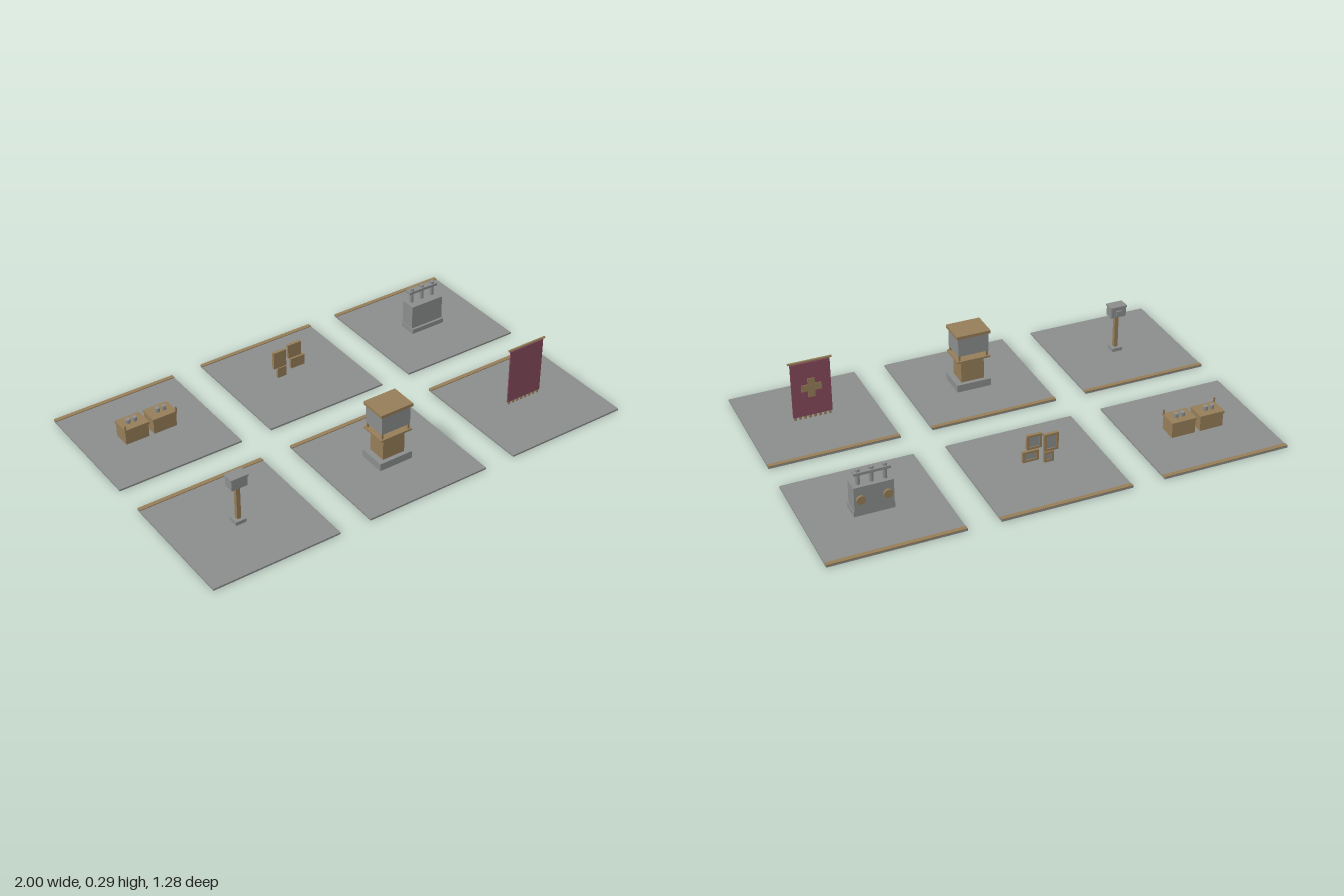
import * as THREE from 'three';

const mat = (name, color) => {
  const m = new THREE.MeshStandardMaterial({ color });
  m.name = name;
  return m;
};

export function createModel() {
  const stone = mat('grey stone', 0x8a8d8c);
  const wood = mat('tan wood', 0x957d58);
  const cloth = mat('dull red cloth', 0x84495a);
  const FLOOR = 0.008;
  const model = new THREE.Group();
  model.name = 'displaySet';

  const add = (parent, name, geometry, material, x, y, z) => {
    const mesh = new THREE.Mesh(geometry, material);
    mesh.name = name;
    mesh.position.set(x, y, z);
    parent.add(mesh);
    return mesh;
  };
  // Box given by its x, y and z ranges
  const box = (parent, name, m, x0, x1, y0, y1, z0, z1) =>
    add(parent, name, new THREE.BoxGeometry(x1 - x0, y1 - y0, z1 - z0), m,
      (x0 + x1) / 2, (y0 + y1) / 2, (z0 + z1) / 2);

  // Floor tile with a raised trim strip along its rear edge
  const tile = (name, x, z) => {
    const g = new THREE.Group();
    g.name = name;
    g.position.set(x, 0, z);
    model.add(g);
    box(g, 'floorTile', stone, -0.286, 0.286, 0, FLOOR, -0.285, 0.285);
    box(g, 'floorTrim', wood, -0.286, 0.286, FLOOR - 0.002, 0.0115, -0.285, -0.266);
    return g;
  };

  // Post with a box head
  const post = tile('boxOnPost', -0.714, 0.357);
  box(post, 'postBase', stone, -0.024, 0.024, FLOOR, 0.024, -0.024, 0.024);
  box(post, 'postShaft', wood, -0.009, 0.009, 0.024, 0.182, -0.009, 0.009);
  box(post, 'postHead', stone, -0.036, 0.036, 0.182, 0.228, -0.024, 0.022);
  box(post, 'postHeadLid', stone, -0.039, 0.039, 0.226, 0.235, -0.027, 0.025);
  box(post, 'postHeadPlate', stone, -0.014, 0.014, 0.195, 0.215, -0.031, -0.024);

  // Kiosk: plinth, body, counter, corner posts, cabinet and roof
  const kiosk = tile('kiosk', 0, 0.357);
  box(kiosk, 'plinth', stone, -0.079, 0.079, FLOOR, 0.042, -0.062, 0.062);
  box(kiosk, 'body', wood, -0.053, 0.053, 0.042, 0.149, -0.043, 0.043);
  box(kiosk, 'counter', wood, -0.076, 0.076, 0.149, 0.157, -0.061, 0.061);
  for (const sx of [-1, 1]) for (const sz of [-1, 1]) {
    add(kiosk, 'cornerPost', new THREE.BoxGeometry(0.008, 0.026, 0.008), wood,
      sx * 0.064, 0.169, sz * 0.05);
  }
  box(kiosk, 'cabinet', stone, -0.07, 0.07, 0.18, 0.267, -0.055, 0.055);
  box(kiosk, 'roof', wood, -0.078, 0.078, 0.267, 0.281, -0.062, 0.062);

  // Hanging cloth with rod, fringe and rear ornament
  const banner = tile('banner', 0.714, 0.357);
  box(banner, 'cloth', cloth, -0.087, 0.087, 0.026, 0.281, -0.003, 0.003);
  const rod = add(banner, 'rod', new THREE.CylinderGeometry(0.005, 0.005, 0.192, 10), wood, 0, 0.288, 0);
  rod.rotation.z = Math.PI / 2;
  for (let i = 0; i < 8; i++) {
    const x = -0.077 + i * 0.022;
    box(banner, 'fringe', wood, x - 0.005, x + 0.005, 0.013, 0.027, -0.003, 0.003);
  }
  box(banner, 'ornamentUpright', wood, -0.016, 0.016, 0.115, 0.205, -0.006, -0.003);
  box(banner, 'ornamentBar', wood, -0.045, 0.045, 0.145, 0.177, -0.0065, -0.003);

  // Pair of serving counters with cups and outer posts
  const counters = tile('counters', -0.714, -0.357);
  for (const s of [-1, 1]) {
    const x = s * 0.066;
    const g = new THREE.Group();
    g.name = 'servingCounter';
    g.position.x = x;
    counters.add(g);
    box(g, 'counterBody', wood, -0.054, 0.054, FLOOR, 0.072, -0.04, 0.04);
    box(g, 'counterTop', wood, -0.057, 0.057, 0.07, 0.081, -0.044, 0.043);
    for (const cx of [-0.016, 0.014]) {
      add(g, 'cup', new THREE.CylinderGeometry(0.011, 0.011, 0.019, 12), stone,
        cx + (s > 0 ? 0.005 : -0.002), 0.09, -0.002);
    }
    add(g, 'counterPost', new THREE.BoxGeometry(0.007, 0.022, 0.007), wood, s * 0.0535, 0.091, 0.0385);
  }

  // Floating picture frames, panels facing the rear
  const frames = tile('pictureFrames', 0, -0.357);
  const frame = (x0, x1, y0, y1) => {
    const b = 0.01;
    const shape = new THREE.Shape([[x0, y0], [x1, y0], [x1, y1], [x0, y1]].map(p => new THREE.Vector2(...p)));
    shape.holes.push(new THREE.Path([[x0 + b, y0 + b], [x0 + b, y1 - b], [x1 - b, y1 - b], [x1 - b, y0 + b]]
      .map(p => new THREE.Vector2(...p))));
    add(frames, 'frameRim', new THREE.ExtrudeGeometry(shape, { depth: 0.014, bevelEnabled: false }), wood, 0, 0, -0.008);
    box(frames, 'frameBacking', wood, x0 + b, x1 - b, y0 + b, y1 - b, -0.001, 0.006);
    box(frames, 'framePanel', stone, x0 + b, x1 - b, y0 + b, y1 - b, -0.004, -0.001);
  };
  frame(-0.088, -0.025, 0.072, 0.152);
  frame(-0.014, 0.052, 0.1, 0.166);
  frame(0, 0.07, 0.043, 0.092);
  frame(-0.068, -0.025, 0.02, 0.068);

  // Dispenser: block body, discs on the rear, taps under a rail
  const dispenser = tile('dispenser', 0.714, -0.357);
  box(dispenser, 'dispenserBase', stone, -0.086, 0.086, FLOOR, 0.03, -0.036, 0.045);
  box(dispenser, 'dispenserBody', stone, -0.083, 0.083, 0.03, 0.141, -0.036, 0.034);
  for (const s of [-1, 1]) {
    const disc = add(dispenser, 'disc', new THREE.CylinderGeometry(0.019, 0.019, 0.011, 16), wood,
      s * 0.056, 0.085, -0.041);
    disc.rotation.x = Math.PI / 2;
  }
  for (const x of [-0.056, 0, 0.056]) {
    add(dispenser, 'tapColumn', new THREE.CylinderGeometry(0.009, 0.009, 0.055, 10), stone, x, 0.166, -0.01);
    add(dispenser, 'tapCap', new THREE.CylinderGeometry(0.01, 0.01, 0.014, 10), stone, x, 0.203, -0.01);
  }
  box(dispenser, 'tapRail', stone, -0.076, 0.076, 0.188, 0.2, -0.026, 0.004);

  return model;
}
